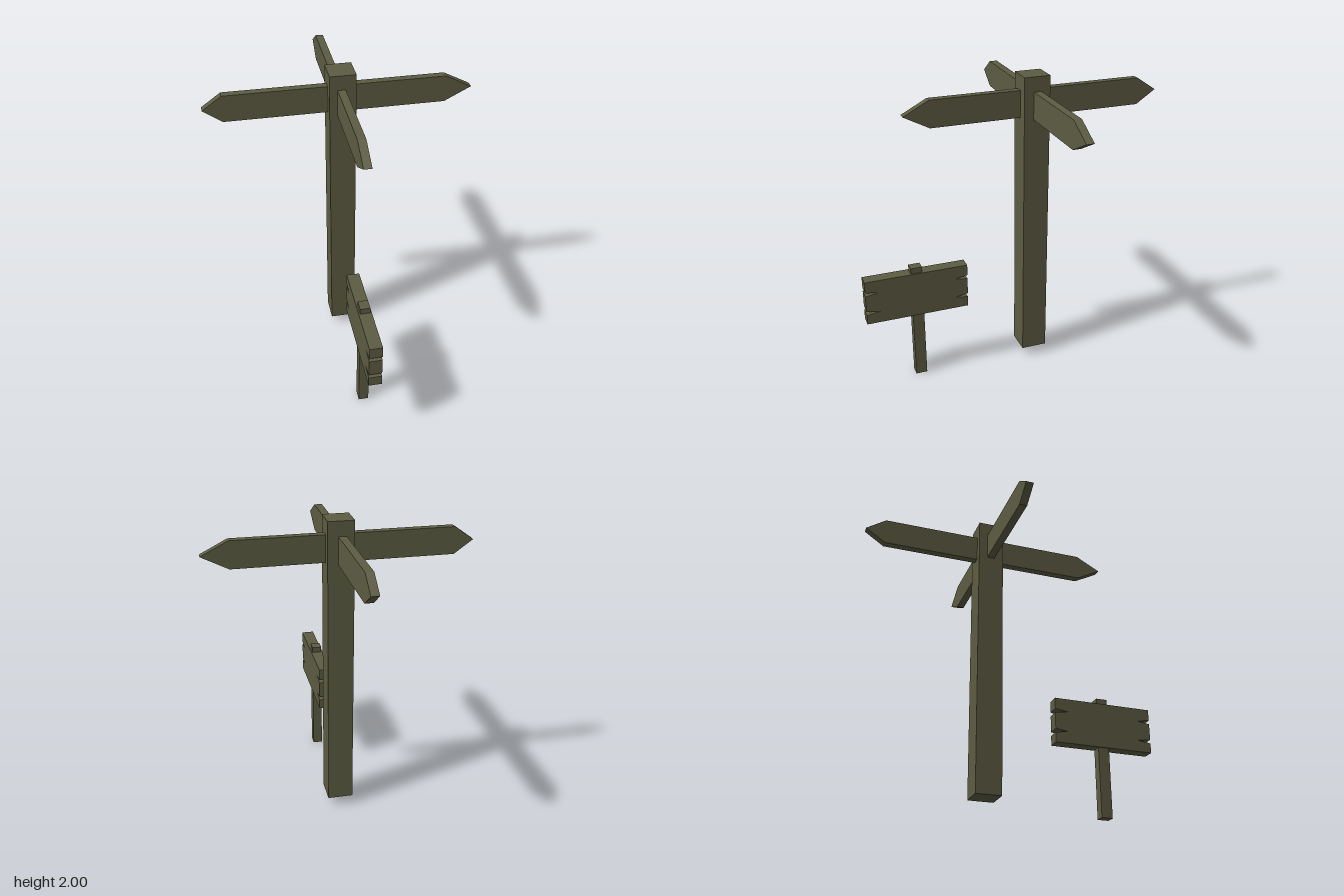
import * as THREE from 'three';

const wood = new THREE.MeshStandardMaterial({ color: 0x5c5b42 });
wood.name = 'weathered wood';

// Square timber given by its minimum and maximum corners
function timber(name, min, max) {
  const size = max.map((v, i) => v - min[i]);
  const mesh = new THREE.Mesh(new THREE.BoxGeometry(...size), wood);
  mesh.name = name;
  mesh.position.set(...max.map((v, i) => (v + min[i]) / 2));
  return mesh;
}

// Flat board cut from an outline and centred on its thickness
function board(name, points, thickness) {
  const shape = new THREE.Shape(points.map(([x, y]) => new THREE.Vector2(x, y)));
  const geometry = new THREE.ExtrudeGeometry(shape, { depth: thickness, bevelEnabled: false });
  geometry.translate(0, 0, -thickness / 2);
  const mesh = new THREE.Mesh(geometry, wood);
  mesh.name = name;
  return mesh;
}

// Pointed arm running outwards along +x from the face of the post
function arm(name, start, shoulder, tip, turn, x, z) {
  const low = 1.73, high = 1.905, middle = 1.8175;
  const mesh = board(name, [
    [start, low], [shoulder, low], [tip, middle], [shoulder, high], [start, high],
  ], 0.05);
  mesh.rotation.y = turn;
  mesh.position.set(x, 0, z);
  return mesh;
}

export function createModel() {
  const group = new THREE.Group();
  group.name = 'signpost';

  // Tall post with four direction arms
  const postX = 0.008, postZ = -0.145;
  group.add(timber('post', [-0.075, 0.065, -0.228], [0.091, 2, -0.058]));
  group.add(
    arm('leftArm', 0.08, 0.67, 0.84, 0, 0, postZ),
    arm('rightArm', 0.07, 0.72, 0.842, Math.PI, 0, postZ),
    arm('frontArm', -0.06, 0.525, 0.69, -Math.PI / 2, 0, 0),
    arm('backArm', 0.22, 0.87, 1, Math.PI / 2, 0, 0),
  );

  // Small notice board with split ends, on its own stake
  const near = 0.318, far = 1, cut = 0.09;
  const notches = [0.545, 0.682];
  const outline = [[near, 0.465], [far, 0.465]];
  for (const y of notches) {
    outline.push([far, y - 0.013], [far - cut, y], [far, y + 0.013]);
  }
  outline.push([far, 0.77], [near, 0.77]);
  for (const y of [...notches].reverse()) {
    outline.push([near, y + 0.013], [near + cut, y], [near, y - 0.013]);
  }
  const notice = board('noticeBoard', outline, 0.082);
  notice.rotation.y = -Math.PI / 2;
  group.add(notice);
  group.add(timber('noticeStake', [-0.032, 0, 0.62], [0.032, 0.808, 0.695]));

  return group;
}
